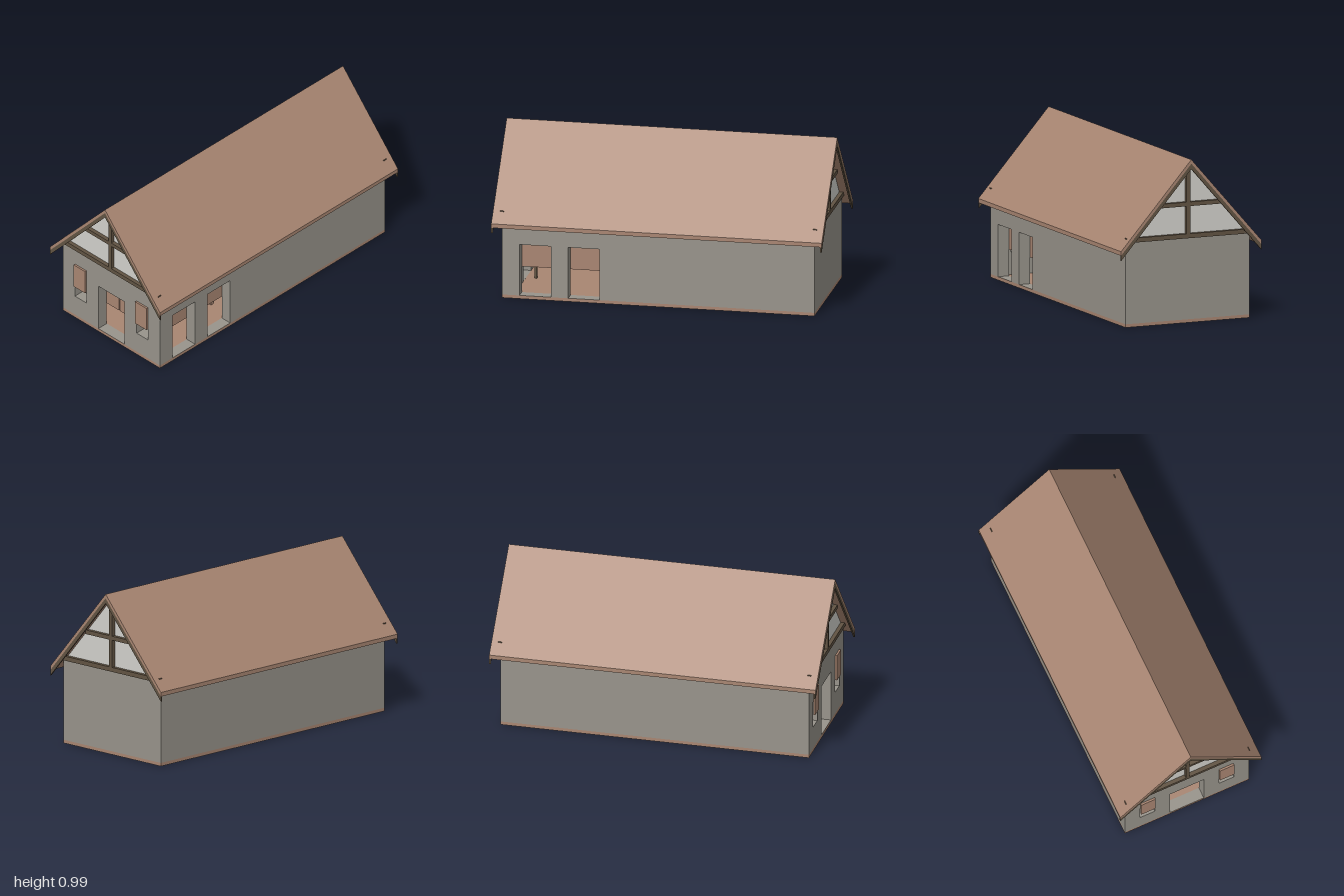
import * as THREE from 'three';

const material = (name, color) => {
  const m = new THREE.MeshStandardMaterial({ color });
  m.name = name;
  return m;
};

export function createModel() {
  const house = new THREE.Group();
  house.name = 'house';
  const wall = material('grey plaster', 0x98948b);
  const brown = material('red brown', 0xa98672);
  const timber = material('dark timber', 0x625443);
  const pane = material('pale pane', 0xd3d2cd);

  const add = (name, geometry, mat) => {
    const mesh = new THREE.Mesh(geometry, mat);
    mesh.name = name;
    house.add(mesh);
    return mesh;
  };
  // box given by its lower and upper limits on each axis
  const box = (name, mat, [x0, x1], [y0, y1], [z0, z1]) => {
    add(name, new THREE.BoxGeometry(x1 - x0, y1 - y0, z1 - z0), mat)
      .position.set((x0 + x1) / 2, (y0 + y1) / 2, (z0 + z1) / 2);
  };
  const polygon = (points) => new THREE.Shape(points.map(([x, y]) => new THREE.Vector2(x, y)));
  const rectangle = (x0, x1, y0, y1) => polygon([[x0, y0], [x1, y0], [x1, y1], [x0, y1]]);
  const extrude = (shape, depth) => new THREE.ExtrudeGeometry(shape, { depth, bevelEnabled: false });

  const W = 0.405, L = 0.945, T = 0.07, FLOOR = 0.02, TOP = 0.508;
  const EAVE = 0.46, DROP = 0.52;

  // floor and closed walls
  box('floor', brown, [-W, W], [0, FLOOR], [-L, L]);
  box('backWall', wall, [-W, W], [FLOOR, TOP], [-L, -L + T]);
  box('leftWall', wall, [-W, -W + T], [FLOOR, TOP], [-L + T, L - T]);

  // front wall with a doorway and two windows
  const front = rectangle(-W, W, FLOOR, TOP);
  front.holes.push(
    rectangle(-0.11, 0.11, FLOOR + 0.0005, 0.335),
    rectangle(-0.306, -0.21, 0.157, 0.318),
    rectangle(0.21, 0.306, 0.157, 0.318));
  add('frontWall', extrude(front, T), wall).position.z = L - T;

  // side wall with two doorways, drawn along -z
  const side = rectangle(-L + T, L - T, FLOOR, TOP);
  const sideDoors = [[0.65, 0.84], [0.355, 0.545]];
  for (const [z0, z1] of sideDoors) side.holes.push(rectangle(-z1, -z0, FLOOR + 0.0005, 0.335));
  const sideWall = add('sideWall', extrude(side, T), wall);
  sideWall.rotation.y = Math.PI / 2;
  sideWall.position.x = W - T;

  // upper door leaves and hanging shutters
  for (const [z0, z1] of sideDoors) {
    box('sideDoorLeaf', brown, [W - T - 0.01, W - T], [0.18, 0.337], [z0, z1]);
  }
  for (const s of [-1, 1]) {
    const span = (a, b) => (s > 0 ? [a, b] : [-b, -a]);
    box('frontDoorLeaf', brown, span(0.003, 0.108), [0.175, 0.334], [L - T - 0.01, L - T + 0.002]);
    box('shutter', brown, span(0.21, 0.304), [0.236, 0.396], [L, L + 0.012]);
  }

  // interior rail and low partitions
  for (const z of [0.817, 0.383]) box('railPost', timber, [0.025, 0.04], [FLOOR, 0.18], [z - 0.008, z + 0.008]);
  box('rail', timber, [0.025, 0.04], [0.15, 0.166], [0.383, 0.817]);
  box('leftPartition', brown, [-W + T, 0.025], [FLOOR, 0.21], [0.29, 0.31]);
  box('rightPartition', brown, [0.055, 0.2], [FLOOR, 0.175], [0.29, 0.31]);

  // pitched roof and barge boards
  const chevron = (apex, t) => polygon([
    [-EAVE, apex - DROP - t], [0, apex - t], [EAVE, apex - DROP - t],
    [EAVE, apex - DROP], [0, apex], [-EAVE, apex - DROP]]);
  add('roof', extrude(chevron(0.99, 0.025), 2), brown).position.z = -1;
  for (const z of [-1, 0.99]) {
    add('bargeBoards', extrude(chevron(0.965, 0.032), 0.01), timber).position.z = z;
  }

  // gable panes and timber frames at both ends
  const gable = polygon([[-0.401, 0.508], [0.401, 0.508], [0, 0.963]]);
  for (const s of [-1, 1]) {
    const z = s > 0 ? [L - 0.01, L + 0.014] : [-L - 0.014, -L + 0.01];
    add('gablePane', extrude(gable, 0.01), pane).position.z = s > 0 ? L - 0.02 : -L + 0.01;
    box('tieBeam', timber, [-W, W], [0.51, 0.537], z);
    box('collarBeam', timber, [-0.208, 0.208], [0.703, 0.728], z);
    box('kingPost', timber, [-0.012, 0.012], [0.537, 0.95], z);
  }
  return house;
}
